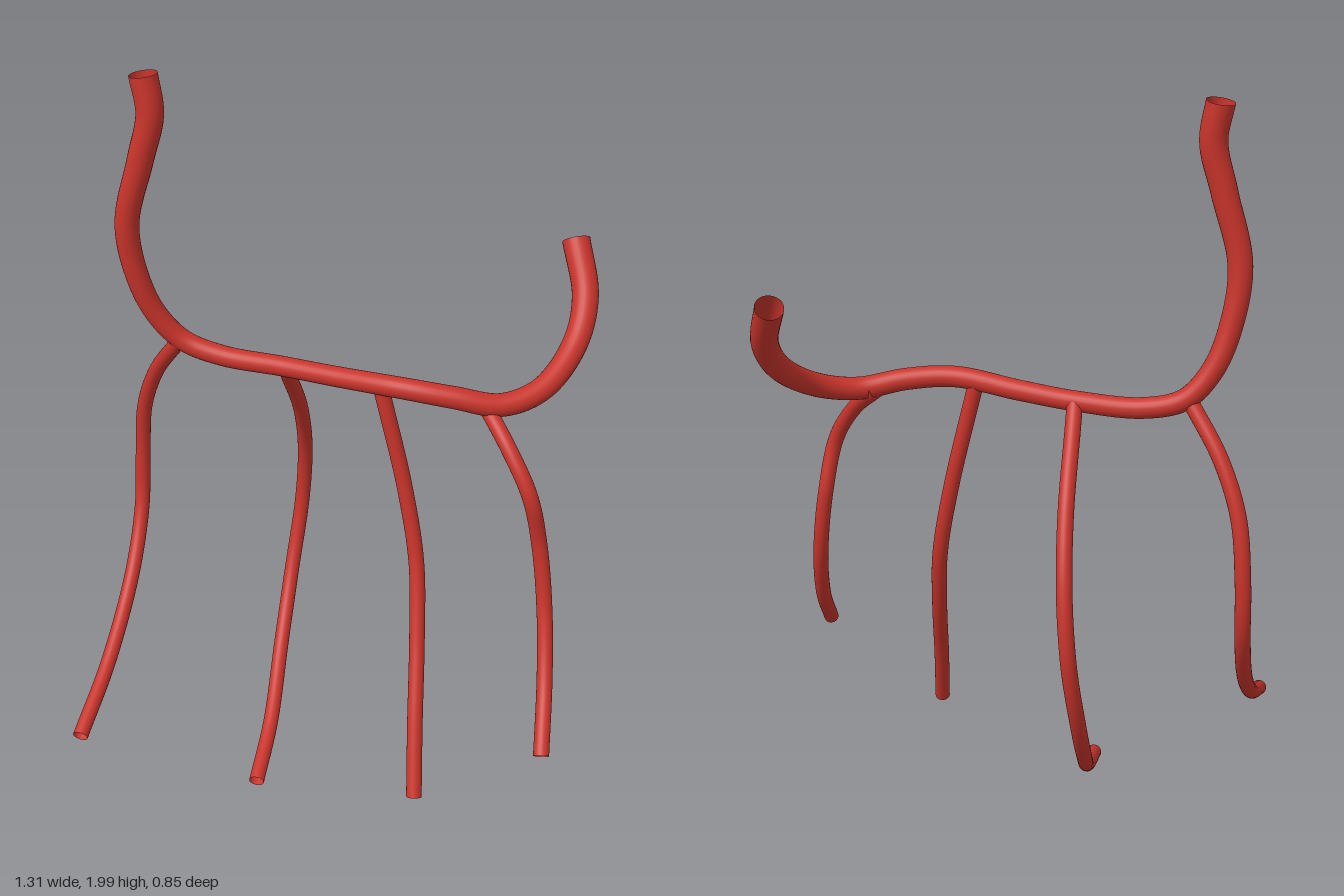
import * as THREE from 'three';

// Smooth open tube through the points; radiusAt(t) gives its radius along the length.
function tube(name, points, radiusAt, segments, material) {
  const curve = new THREE.CatmullRomCurve3(points.map(p => new THREE.Vector3(...p)));
  const sides = 24;
  const geo = new THREE.TubeGeometry(curve, segments, 1, sides, false);
  const pos = geo.attributes.position;
  const v = new THREE.Vector3();
  for (let i = 0; i <= segments; i++) {
    const t = i / segments;
    const centre = curve.getPointAt(t);
    for (let j = 0; j <= sides; j++) {
      const k = i * (sides + 1) + j;
      v.fromBufferAttribute(pos, k).sub(centre).multiplyScalar(radiusAt(t)).add(centre);
      pos.setXYZ(k, v.x, v.y, v.z);
    }
  }
  const mesh = new THREE.Mesh(geo, material);
  mesh.name = name;
  return mesh;
}

export function createModel() {
  const group = new THREE.Group();
  group.name = 'bentTubeAnimal';
  const red = new THREE.MeshStandardMaterial({ color: 0xc8342b, side: THREE.DoubleSide });
  red.name = 'red';

  // Neck, back and tail: one sweep, thicker at both ends
  const spine = [
    [-0.515, 1.99, -0.01], [-0.5, 1.89, -0.005], [-0.53, 1.765, 0], [-0.577, 1.58, 0],
    [-0.56, 1.42, -0.015], [-0.52, 1.31, -0.035], [-0.455, 1.235, -0.052], [-0.35, 1.205, -0.054],
    [-0.175, 1.205, -0.042], [-0.016, 1.213, -0.014], [0.17, 1.226, 0.02], [0.3, 1.213, 0.007],
    [0.42, 1.19, -0.03], [0.51, 1.215, -0.1], [0.568, 1.295, -0.22], [0.572, 1.39, -0.31],
    [0.525, 1.508, -0.393],
  ];
  group.add(tube('spine', spine, t => 0.027 + 0.01 * Math.abs(2 * t - 1) ** 1.5, 160, red));

  // Four curved legs, from the spine down to the foot
  const legs = {
    outerRightLeg: [
      [-0.47, 1.23, -0.05], [-0.56, 1.1, -0.105], [-0.615, 0.96, -0.14], [-0.635, 0.79, -0.155],
      [-0.637, 0.63, -0.13], [-0.633, 0.47, -0.02], [-0.63, 0.31, 0.19], [-0.63, 0.21, 0.413],
    ],
    innerRightLeg: [
      [-0.17, 1.2, -0.05], [-0.175, 1.14, -0.1], [-0.188, 0.97, -0.235], [-0.205, 0.787, -0.325],
      [-0.222, 0.6, -0.345], [-0.235, 0.39, -0.275], [-0.225, 0.23, -0.14], [-0.195, 0.093, 0.06],
      [-0.176, 0.027, 0.25],
    ],
    innerLeftLeg: [
      [0.11, 1.21, 0.01], [0.18, 0.92, 0.016], [0.222, 0.71, 0.043], [0.245, 0.52, 0.11],
      [0.272, 0.31, 0.22], [0.295, 0.13, 0.305],
    ],
    outerLeftLeg: [
      [0.37, 1.19, -0.035], [0.46, 1.105, 0.045], [0.525, 1.0, 0.08], [0.555, 0.84, 0.06],
      [0.583, 0.655, 0.085], [0.608, 0.495, 0.165], [0.635, 0.35, 0.305],
    ],
  };
  for (const [name, points] of Object.entries(legs)) {
    group.add(tube(name, points, () => 0.021, 80, red));
  }
  return group;
}
